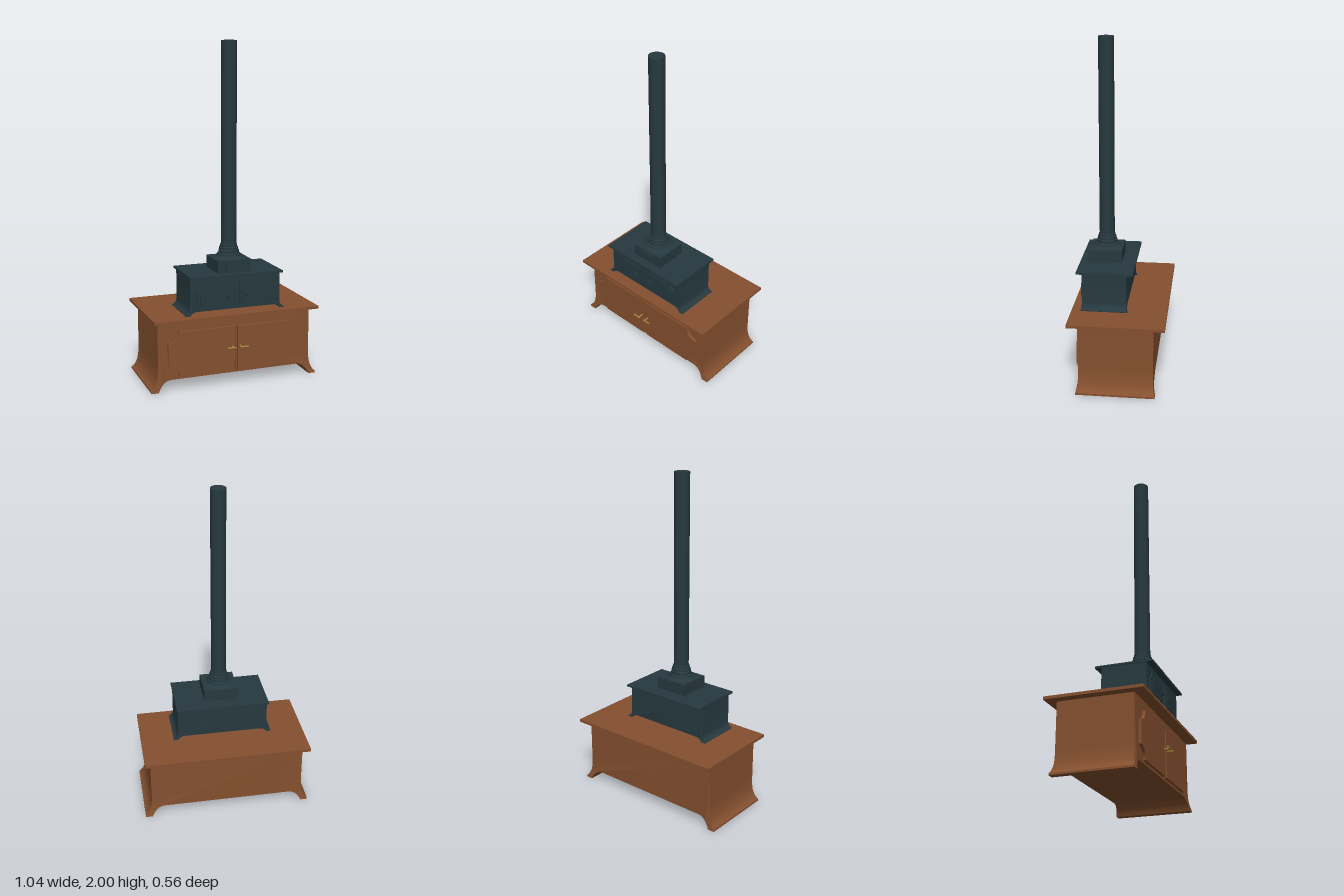
import * as THREE from 'three';
import { toCreasedNormals } from 'three/addons/utils/BufferGeometryUtils.js';

const wood = new THREE.MeshStandardMaterial({ color: 0x85502f });
wood.name = 'brown wood';
const iron = new THREE.MeshStandardMaterial({ color: 0x26393f });
iron.name = 'dark iron';
const brass = new THREE.MeshStandardMaterial({ color: 0xa5853a });
brass.name = 'brass';

function add(parent, name, geometry, material, x = 0, y = 0, z = 0) {
  const mesh = new THREE.Mesh(geometry, material);
  mesh.name = name;
  mesh.position.set(x, y, z);
  parent.add(mesh);
  return mesh;
}

// Box spanning two opposite corners
function block(parent, name, material, x0, x1, y0, y1, z0, z1) {
  return add(parent, name, new THREE.BoxGeometry(x1 - x0, y1 - y0, z1 - z0), material,
    (x0 + x1) / 2, (y0 + y1) / 2, (z0 + z1) / 2);
}

// Cabinet body whose sides sweep out into full-depth flared feet
function footedBody({ half, foot, inner, arch, y0, y1, sweep, lip, z0, z1, flare }) {
  const s = new THREE.Shape();
  s.moveTo(-half, y1);
  s.lineTo(-half, sweep);
  s.bezierCurveTo(-half, y0 + lip * 5, -half - (foot - half) * 0.3, y0 + lip * 1.8, -foot, y0 + lip * 0.7);
  s.lineTo(-foot, y0);
  s.lineTo(-half, y0);
  s.quadraticCurveTo(-half + (half - inner) * 0.35, arch, -inner, arch);
  s.lineTo(inner, arch);
  s.quadraticCurveTo(half - (half - inner) * 0.35, arch, half, y0);
  s.lineTo(foot, y0);
  s.lineTo(foot, y0 + lip * 0.7);
  s.bezierCurveTo(half + (foot - half) * 0.3, y0 + lip * 1.8, half, y0 + lip * 5, half, sweep);
  s.lineTo(half, y1);
  const g = new THREE.ExtrudeGeometry(s, { depth: z1 - z0, bevelEnabled: false, curveSegments: 8 });
  g.translate(0, 0, z0);
  // Feet also spread a little to the front and back
  const p = g.attributes.position;
  const mid = (z0 + z1) / 2;
  for (let i = 0; i < p.count; i++) {
    const t = Math.max(0, (arch - p.getY(i)) / (arch - y0));
    p.setZ(i, p.getZ(i) + Math.sign(p.getZ(i) - mid) * flare * t);
  }
  return toCreasedNormals(g, 0.6);
}

// Door panel with concave notches at the chosen outer corners
function doorPanel(x0, x1, y0, y1, r, notchBottom, depth) {
  const s = new THREE.Shape();
  s.moveTo(x0, y0);
  if (notchBottom) {
    s.lineTo(x1 - r, y0);
    s.absarc(x1, y0, r, Math.PI, Math.PI / 2, true);
  } else {
    s.lineTo(x1, y0);
  }
  s.lineTo(x1, y1 - r);
  s.absarc(x1, y1, r, Math.PI * 1.5, Math.PI, true);
  s.lineTo(x0, y1);
  const g = new THREE.ExtrudeGeometry(s, { depth, bevelEnabled: false, curveSegments: 8 });
  return toCreasedNormals(g, 0.6);
}

// The same door turned over to the other side
function mirrorX(geometry) {
  const g = geometry.clone().scale(-1, 1, 1);
  for (const key of ['position', 'normal']) {
    const a = g.attributes[key].array;
    for (let i = 0; i < a.length; i += 9) {
      for (let k = 0; k < 3; k++) [a[i + 3 + k], a[i + 6 + k]] = [a[i + 6 + k], a[i + 3 + k]];
    }
  }
  return g;
}

function createCabinet() {
  const cabinet = new THREE.Group();
  cabinet.name = 'cabinet';
  add(cabinet, 'cabinetBody', footedBody({
    half: 0.475, foot: 0.518, inner: 0.395, arch: 0.066, y0: 0, y1: 0.41,
    sweep: 0.15, lip: 0.016, z0: -0.217, z1: 0.22, flare: 0.013,
  }), wood);
  block(cabinet, 'tableTop', wood, -0.51, 0.51, 0.418, 0.435, -0.283, 0.281);

  const door = doorPanel(0.01, 0.416, 0.08, 0.352, 0.068, true, 0.016);
  add(cabinet, 'leftDoor', door, wood, 0, 0, 0.22);
  add(cabinet, 'rightDoor', mirrorX(door), wood, 0, 0, 0.22);
  block(cabinet, 'doorStrip', wood, -0.004, 0.004, 0.085, 0.345, 0.22, 0.229);

  // Lever handles
  for (const s of [-1, 1]) {
    const handle = new THREE.Group();
    handle.name = s > 0 ? 'leftHandle' : 'rightHandle';
    add(handle, 'handleStem', new THREE.CylinderGeometry(0.005, 0.005, 0.036, 10), brass,
      s * 0.024, 0.231, 0.253).rotation.x = Math.PI / 2;
    add(handle, 'handleLever', new THREE.CylinderGeometry(0.005, 0.005, 0.052, 10), brass,
      s * 0.04, 0.231, 0.269).rotation.z = Math.PI / 2;
    cabinet.add(handle);
  }
  return cabinet;
}

function createStove() {
  const stove = new THREE.Group();
  stove.name = 'stove';
  add(stove, 'stoveBody', footedBody({
    half: 0.28, foot: 0.307, inner: 0.235, arch: 0.456, y0: 0.435, y1: 0.656,
    sweep: 0.48, lip: 0.006, z0: -0.042, z1: 0.222, flare: 0.007,
  }), iron);
  block(stove, 'stoveTop', iron, -0.285, 0.285, 0.655, 0.667, -0.079, 0.256);

  // Doors with a raised inner panel
  const door = doorPanel(0.02, 0.24, 0.482, 0.622, 0.04, false, 0.008);
  const panel = doorPanel(0.035, 0.222, 0.496, 0.606, 0.04, false, 0.006);
  const layers = [['Door', door, 0.222], ['DoorPanel', panel, 0.23]];
  for (const [name, geometry, z] of layers) {
    add(stove, 'left' + name, geometry, iron, 0, 0, z);
    add(stove, 'right' + name, mirrorX(geometry), iron, 0, 0, z);
  }

  // Ring and crossbar knobs
  for (const x of [-0.058, 0.058]) {
    const knob = new THREE.Group();
    knob.name = 'knob';
    knob.position.set(x, 0.547, 0.241);
    add(knob, 'knobRing', new THREE.TorusGeometry(0.012, 0.004, 8, 16), iron).rotation.y = Math.PI / 2;
    add(knob, 'knobBar', new THREE.CylinderGeometry(0.004, 0.004, 0.032, 8), iron).rotation.z = Math.PI / 2;
    stove.add(knob);
  }
  return stove;
}

function createFlue() {
  const flue = new THREE.Group();
  flue.name = 'flue';
  block(flue, 'flueBox', iron, -0.104, 0.104, 0.667, 0.74, 0.005, 0.205);
  block(flue, 'fluePlate', iron, -0.05, 0.05, 0.68, 0.728, 0.205, 0.211);

  // Stepped collar around the pipe
  const profile = [[0.1, 0.739], [0.085, 0.745], [0.072, 0.754], [0.07, 0.764], [0.061, 0.769],
    [0.061, 0.785], [0.056, 0.79], [0.056, 0.803], [0.05, 0.807], [0.05, 0.82], [0.044, 0.824]];
  const collar = new THREE.LatheGeometry(profile.map(([r, y]) => new THREE.Vector2(r, y)), 20);
  add(flue, 'collar', toCreasedNormals(collar, 0.6), iron, 0, 0, 0.105);
  add(flue, 'pipe', new THREE.CylinderGeometry(0.046, 0.046, 1.26, 20), iron, 0, 1.37, 0.105);
  return flue;
}

export function createModel() {
  const model = new THREE.Group();
  model.name = 'stoveOnCabinet';
  model.add(createCabinet(), createStove(), createFlue());
  return model;
}
